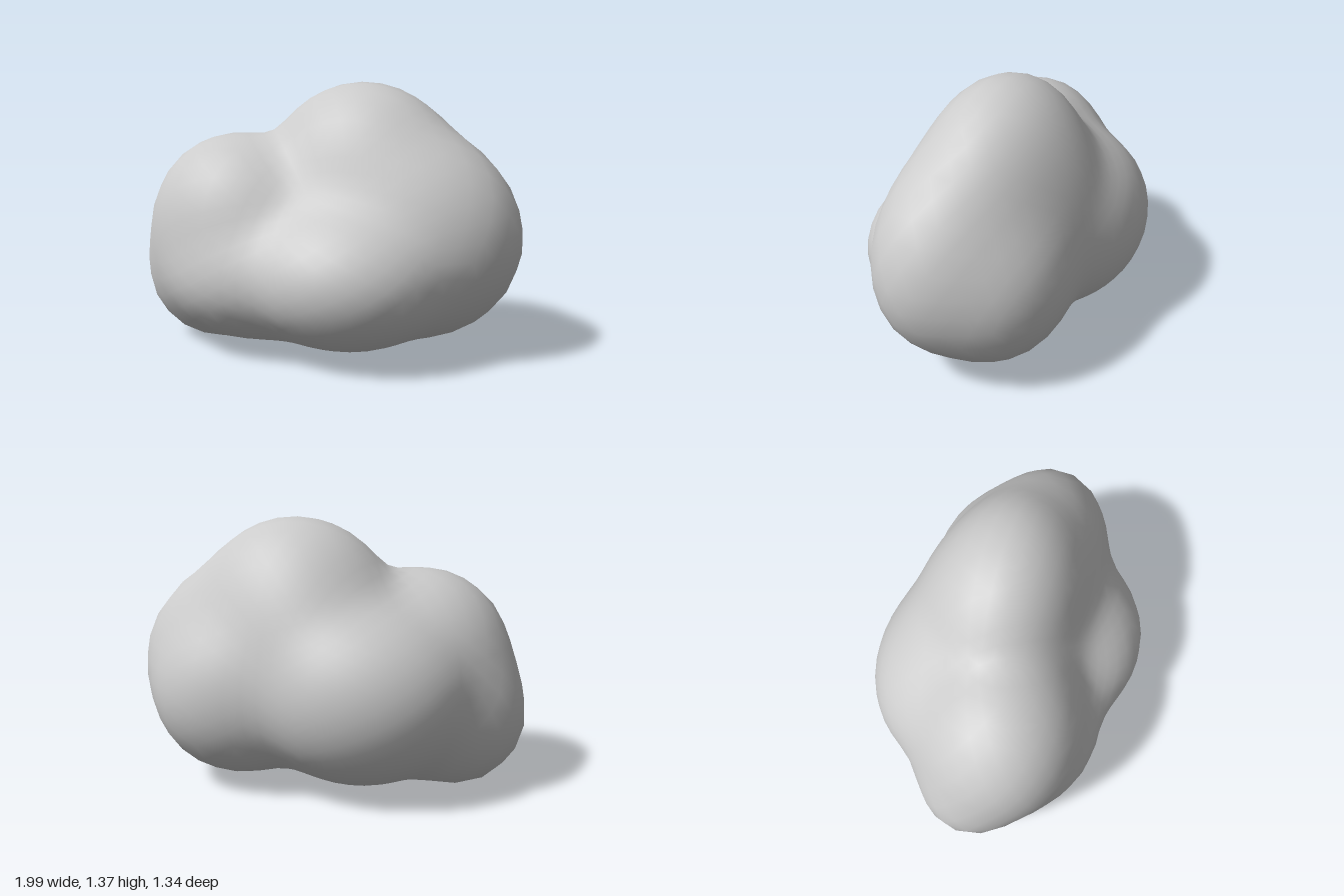
import * as THREE from 'three';
import { mergeVertices } from 'three/addons/utils/BufferGeometryUtils.js';

// Rounded lobes that melt together: centre and radii
const LOBES = [
  { c: [0.17, 0.90, -0.07], r: [0.49, 0.478, 0.36] },  // crown
  { c: [0.12, 0.75, -0.20], r: [0.35, 0.40, 0.30] },   // slope behind the crown
  { c: [0.50, 0.61, 0.00], r: [0.497, 0.49, 0.36] },   // +x shoulder
  { c: [0.45, 0.50, -0.20], r: [0.42, 0.41, 0.345] },  // +x shoulder, back
  { c: [0.40, 0.85, -0.02], r: [0.36, 0.27, 0.24] },   // slope from crown to +x shoulder
  { c: [0.17, 0.425, 0.22], r: [0.50, 0.355, 0.452] }, // front belly
  { c: [0.13, 0.65, 0.08], r: [0.40, 0.30, 0.27] },    // slope from crown to belly
  { c: [-0.36, 0.40, 0.17], r: [0.42, 0.31, 0.395] },  // front belly, -x end
  { c: [-0.46, 0.65, 0.09], r: [0.45, 0.465, 0.40] },  // -x shoulder
  { c: [-0.64, 0.38, 0.01], r: [0.352, 0.362, 0.30] }, // -x foot
  { c: [-0.18, 0.53, -0.25], r: [0.52, 0.44, 0.42] },  // back bulge
  { c: [-0.15, 0.50, -0.03], r: [0.50, 0.45, 0.41] },  // core
].map(({ c, r }) => ({ c: new THREE.Vector3(...c), r: new THREE.Vector3(...r) }));

const CENTRE = new THREE.Vector3(0, 0.55, 0);
const SHARPNESS = 17;

// Approximate signed distance to one ellipsoid
function lobeDistance(p, { c, r }) {
  const d = p.clone().sub(c).divide(r);
  const k0 = d.length();
  const k1 = d.divide(r).length();
  return k1 < 1e-6 ? -Math.min(r.x, r.y, r.z) : k0 * (k0 - 1) / k1;
}

// Smooth union of all lobes
function field(p) {
  let sum = 0;
  for (const lobe of LOBES) sum += Math.exp(-SHARPNESS * lobeDistance(p, lobe));
  return -Math.log(sum) / SHARPNESS;
}

// Walk inwards along a direction, then refine the surface crossing
function surfacePoint(dir) {
  const at = (t) => CENTRE.clone().addScaledVector(dir, t);
  let outer = 1.4;
  while (outer > 0.1 && field(at(outer)) > 0) outer -= 0.04;
  let inner = outer;
  outer += 0.04;
  for (let i = 0; i < 16; i++) {
    const mid = (inner + outer) / 2;
    if (field(at(mid)) > 0) outer = mid; else inner = mid;
  }
  return at(inner);
}

// Sphere whose vertices are moved onto the melted lobes
function bodyGeometry() {
  let geo = new THREE.IcosahedronGeometry(1, 9);
  geo.deleteAttribute('uv');
  geo.deleteAttribute('normal');
  geo = mergeVertices(geo, 1e-4);

  const pos = geo.attributes.position;
  const v = new THREE.Vector3();
  for (let i = 0; i < pos.count; i++) {
    const p = surfacePoint(v.fromBufferAttribute(pos, i).normalize());
    pos.setXYZ(i, p.x, p.y, p.z);
  }
  geo.computeVertexNormals();
  return geo;
}

export function createModel() {
  const group = new THREE.Group();
  group.name = 'cloud';
  const body = new THREE.Mesh(
    bodyGeometry(), new THREE.MeshStandardMaterial({ color: 0xcccccc }));
  body.name = 'cloudBody';
  group.add(body);
  return group;
}
